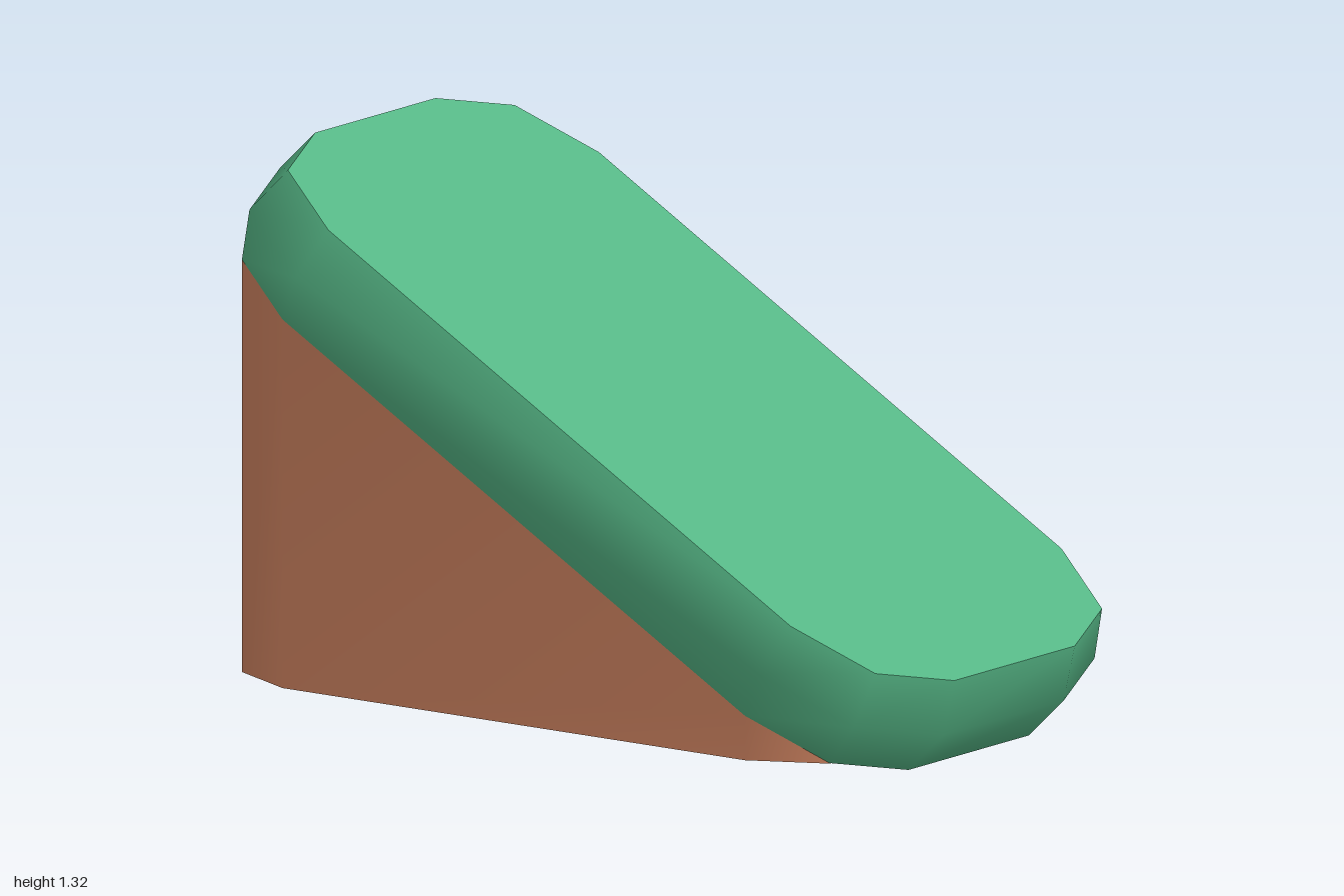
import * as THREE from 'three';

const TILT = Math.PI / 6;
const CENTRE_Y = 0.657;
const HALF_THICK = 0.135;

// Rounded rectangle of 12 points in x/z; grow pushes it outwards
function outline(grow) {
  const pts = [];
  const r = 0.3 + grow;
  for (let q = 0; q < 4; q++) {
    const cx = q === 0 || q === 3 ? 0.24 : -0.24;
    const cz = q < 2 ? 0.785 : -0.785;
    for (let k = 0; k < 3; k++) {
      const a = (q + k / 2) * Math.PI / 2;
      pts.push([cx + r * Math.cos(a), cz + r * Math.sin(a)]);
    }
  }
  return pts;
}

// Smooth walls through stacked rings (lowest first)
function walls(rings) {
  const n = rings[0].length;
  const index = [];
  for (let r = 0; r < rings.length - 1; r++) {
    for (let i = 0; i < n; i++) {
      const j = (i + 1) % n;
      const a = r * n + i, b = r * n + j, c = a + n, d = b + n;
      index.push(a, c, b, b, c, d);
    }
  }
  return build(rings.flat(), index);
}

// Flat lid over one ring
function cap(ring, up) {
  const index = [];
  for (let i = 1; i < ring.length - 1; i++) {
    if (up) index.push(0, i + 1, i);
    else index.push(0, i, i + 1);
  }
  return build(ring, index);
}

function build(points, index) {
  const g = new THREE.BufferGeometry();
  g.setAttribute('position', new THREE.Float32BufferAttribute(points.flat(), 3));
  g.setIndex(index);
  g.computeVertexNormals();
  return g;
}

export function createModel() {
  const green = new THREE.MeshStandardMaterial({ color: 0x55b585 });
  green.name = 'green';
  const clay = new THREE.MeshStandardMaterial({ color: 0xd28562 });
  clay.name = 'clay';

  const model = new THREE.Group();
  model.name = 'wedgeRamp';
  const add = (parent, name, geometry, material) => {
    const m = new THREE.Mesh(geometry, material);
    m.name = name;
    parent.add(m);
  };

  // Tilted slab with a bulging rim
  const slab = new THREE.Group();
  slab.name = 'slab';
  slab.rotation.x = TILT;
  slab.position.y = CENTRE_Y;
  const level = (grow, y) => outline(grow).map(([x, z]) => [x, y, z]);
  const low = level(0, -HALF_THICK);
  const top = level(0, HALF_THICK);
  add(slab, 'slabRim', walls([low, level(0.04, 0), top]), green);
  add(slab, 'slabTop', cap(top, true), green);
  add(slab, 'slabUnderside', cap(low, false), green);
  model.add(slab);

  // Upright base that follows the slab's underside, cut off at the floor level
  const floorY = 0.04;
  const s = Math.sin(TILT), c = Math.cos(TILT);
  const underside = (z) => CENTRE_Y - HALF_THICK / c - z * s / c;
  const frontZ = (CENTRE_Y - HALF_THICK / c - floorY) * c / s;
  const baseTop = low.map(([x, y, z]) => {
    const wz = Math.min(y * s + z * c, frontZ);
    return [x, underside(wz), wz];
  });
  const baseFloor = baseTop.map(([x, , z]) => [x, floorY, z]);
  const base = new THREE.Group();
  base.name = 'base';
  add(base, 'baseWalls', walls([baseFloor, baseTop]), clay);
  add(base, 'baseBottom', cap(baseFloor, false), clay);
  model.add(base);

  return model;
}
